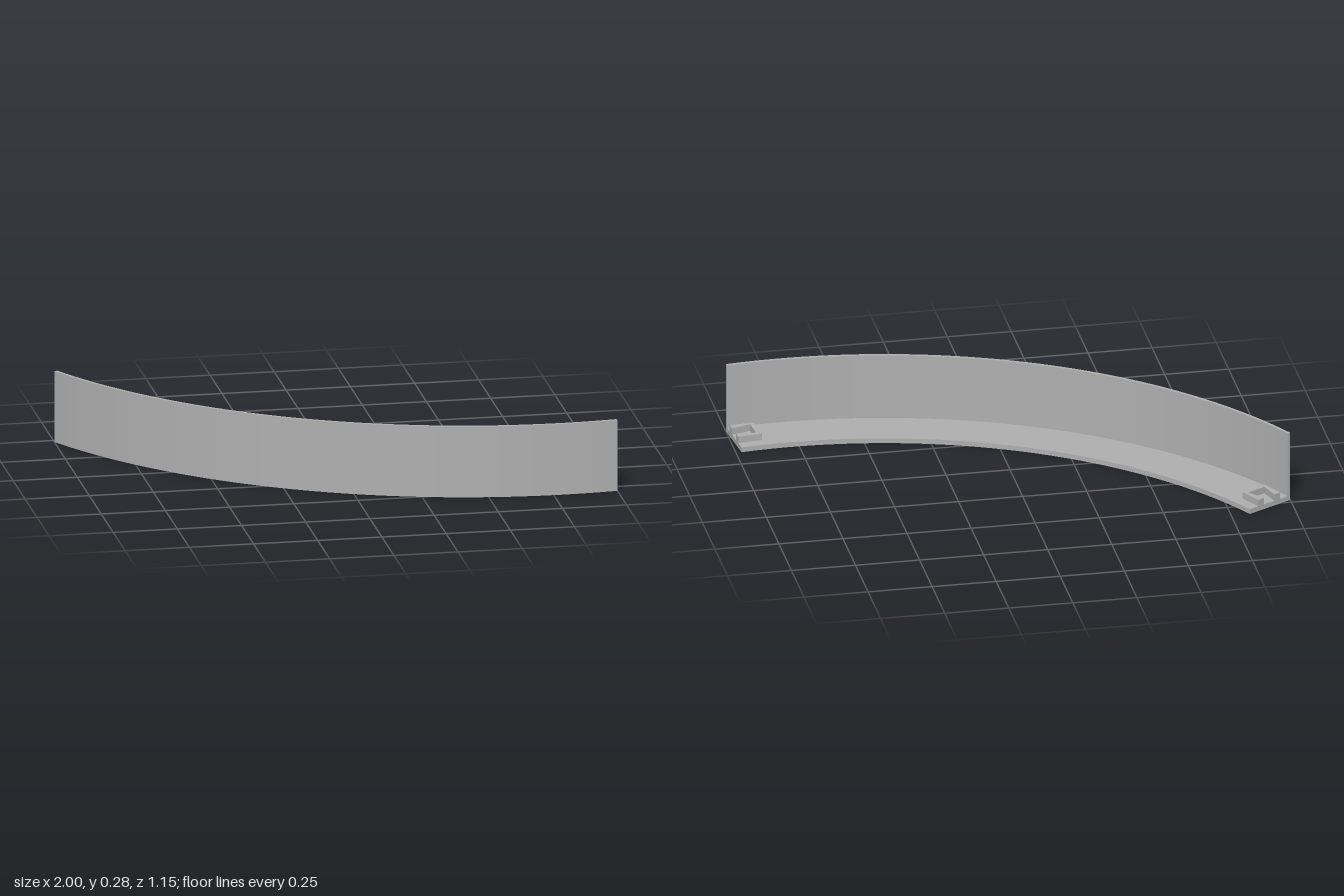
import * as THREE from 'three';

const CX = 0.776, CZ = -1.457;              // centre of the curve
const R_OUT = 2.027, R_WALL = 2.014, R_IN = 1.825;
const FLOOR = 0.02, HEIGHT = 0.283, CLIP_TOP = 0.047;
const rad = THREE.MathUtils.degToRad;
const START = rad(-151.15), END = rad(-83.65); // angles in plan, where plan y = -z

const grey = new THREE.MeshStandardMaterial({ color: 0xb0b0b0 });
grey.name = 'grey';

// Raises a plan shape from height y0 to y1
function raise(name, shape, y0, y1) {
  const geo = new THREE.ExtrudeGeometry(shape, { depth: y1 - y0, bevelEnabled: false, curveSegments: 36 });
  geo.rotateX(-Math.PI / 2);
  geo.translate(0, y0, 0);
  const mesh = new THREE.Mesh(geo, grey);
  mesh.name = name;
  return mesh;
}

// Plan of a curved band between two radii
function band(r0, r1) {
  const s = new THREE.Shape();
  s.absarc(CX, -CZ, r1, START, END, false);
  s.absarc(CX, -CZ, r0, END, START, true);
  s.closePath();
  return s;
}

// U-shaped clip with a dovetail slot open at one end of the band
function clip(name, angle, inward) {
  const c = Math.cos(angle), s = Math.sin(angle), mid = 1.922;
  const profile = [
    [-0.055, 0], [-0.055, 0.095], [0.055, 0.095], [0.055, 0],
    [0.025, 0], [0.04, 0.077], [-0.04, 0.077], [-0.025, 0],
  ];
  const points = profile.map(([u, v]) => new THREE.Vector2(
    CX + (mid + u) * c - inward * v * s,
    -CZ + (mid + u) * s + inward * v * c));
  return raise(name, new THREE.Shape(points), FLOOR, CLIP_TOP);
}

export function createModel() {
  const model = new THREE.Group();
  model.name = 'curvedEdging';
  model.add(
    raise('wall', band(R_WALL, R_OUT), 0, HEIGHT),
    raise('floor', band(R_IN, R_WALL), 0, FLOOR),
    clip('rightClip', START, 1),
    clip('leftClip', END, -1),
  );
  return model;
}
